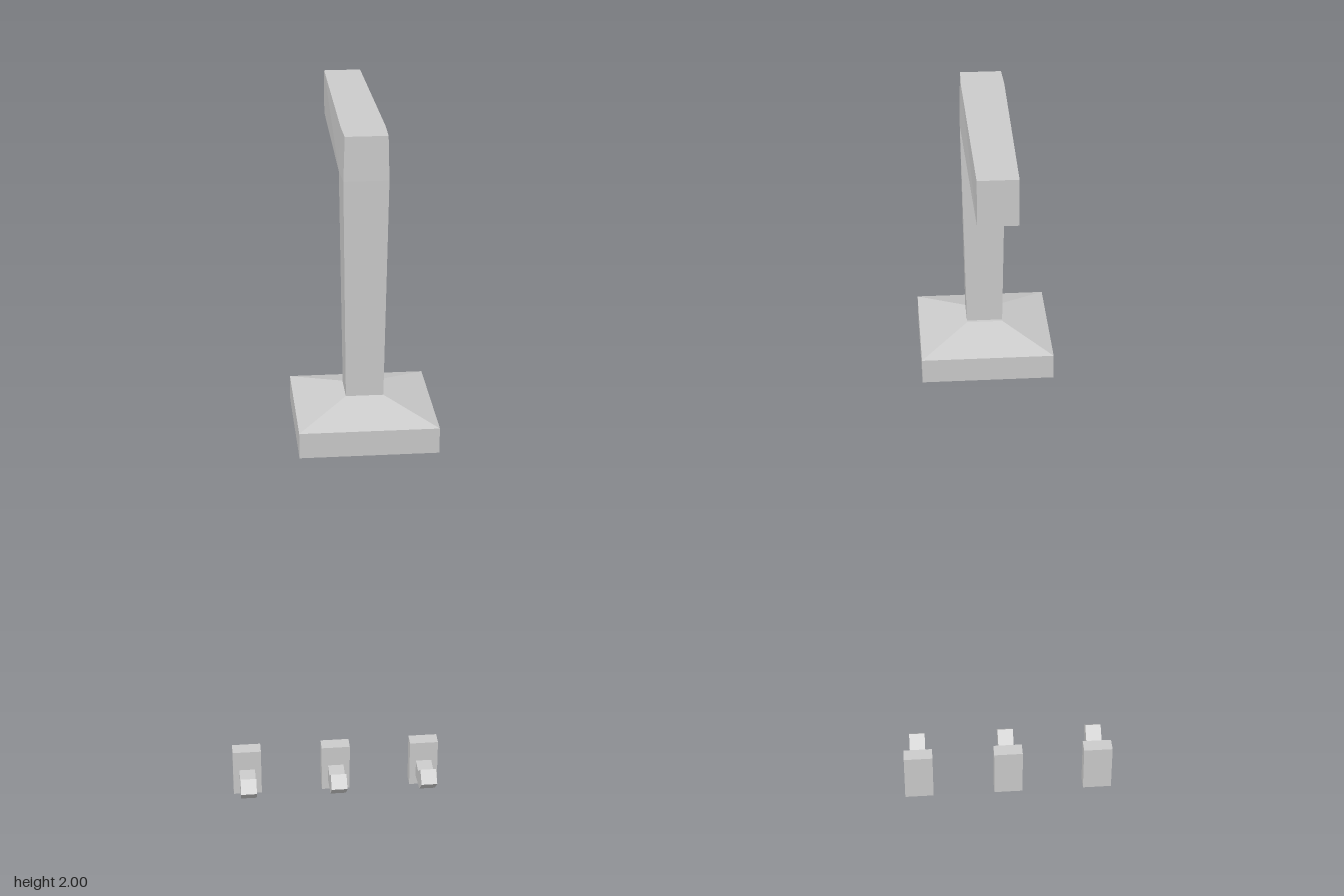
import * as THREE from 'three';

const material = new THREE.MeshStandardMaterial({ color: 0xcccccc, flatShading: true });

function addMesh(parent, name, geometry) {
  const mesh = new THREE.Mesh(geometry, material);
  mesh.name = name;
  parent.add(mesh);
  return mesh;
}

// Square block whose upper face may be smaller than its lower one
function squareBlock(bottomHalf, topHalf, y0, y1) {
  const g = new THREE.BoxGeometry(2, y1 - y0, 2);
  g.translate(0, (y0 + y1) / 2, 0);
  const p = g.attributes.position;
  const mid = (y0 + y1) / 2;
  for (let i = 0; i < p.count; i++) {
    const half = p.getY(i) > mid ? topHalf : bottomHalf;
    p.setX(i, p.getX(i) * half);
    p.setZ(i, p.getZ(i) * half);
  }
  g.computeVertexNormals();
  return g;
}

// Bent square tube: cross-sections of [z, y, halfWidth] on the outer and inner side
function bentArm() {
  const inner = [0.155, 1.9, 0.054];
  const sections = [
    [[0.23, 1.38, 0.044], [0.15, 1.38, 0.044]],
    [[0.233, 1.9, 0.051], inner],
    [[0.231, 2.0, 0.048], inner],
    [[0.155, 2.0, 0.05], inner],
    [[-0.35, 1.997, 0.0445], [-0.35, 1.892, 0.0445]],
  ];
  const rings = sections.map(([o, n]) => [
    [-o[2], o[1], o[0]], [o[2], o[1], o[0]], [n[2], n[1], n[0]], [-n[2], n[1], n[0]],
  ]);
  const points = [];
  const quad = (a, b, c, d) => points.push(...a, ...b, ...c, ...a, ...c, ...d);
  for (let i = 0; i < rings.length - 1; i++) {
    const a = rings[i], b = rings[i + 1];
    for (let k = 0; k < 4; k++) {
      const j = (k + 1) % 4;
      if (a[k] && sections[i][1] === sections[i + 1][1]) {
        // The corner fans around the inner edge
        if (k === 2) continue;
        if (k === 1) { points.push(...a[1], ...a[2], ...b[1]); continue; }
        if (k === 3) { points.push(...a[3], ...a[0], ...b[0]); continue; }
      }
      quad(a[k], a[j], b[j], b[k]);
    }
  }
  const first = rings[0], last = rings[rings.length - 1];
  quad(first[3], first[2], first[1], first[0]);
  quad(last[0], last[1], last[2], last[3]);
  const g = new THREE.BufferGeometry();
  g.setAttribute('position', new THREE.Float32BufferAttribute(points, 3));
  g.computeVertexNormals();
  return g;
}

// Upturned peg, drawn in the z-y plane and extruded sideways
function pegGeometry(width) {
  const profile = [
    [-0.081, 0.03], [-0.081, 0.082], [-0.035, 0.08],
    [0.01, 0.118], [0.042, 0.09], [0, 0.045],
  ];
  const shape = new THREE.Shape(profile.map(([z, y]) => new THREE.Vector2(-z, y)));
  const g = new THREE.ExtrudeGeometry(shape, { depth: width, bevelEnabled: false });
  g.translate(0, 0, -width / 2);
  g.rotateY(Math.PI / 2);
  return g;
}

export function createModel() {
  const model = new THREE.Group();
  model.name = 'showerSet';

  // Shower head on its bent arm
  const shower = new THREE.Group();
  shower.name = 'shower';
  shower.position.x = 0.04;
  model.add(shower);
  addMesh(shower, 'showerArm', bentArm());
  addMesh(shower, 'showerHead', squareBlock(0.162, 0.162, 1.283, 1.345)).position.z = 0.186;
  addMesh(shower, 'showerHeadTop', squareBlock(0.162, 0.044, 1.345, 1.381)).position.z = 0.186;

  // Row of three wall hooks
  for (const [name, x] of [['rightHook', -0.253], ['middleHook', -0.001], ['leftHook', 0.251]]) {
    const hook = new THREE.Group();
    hook.name = name;
    hook.position.x = x;
    addMesh(hook, 'wallPlate', new THREE.BoxGeometry(0.08, 0.143, 0.038)).position.set(0, 0.0715, -0.1);
    addMesh(hook, 'peg', pegGeometry(0.044));
    model.add(hook);
  }
  return model;
}
